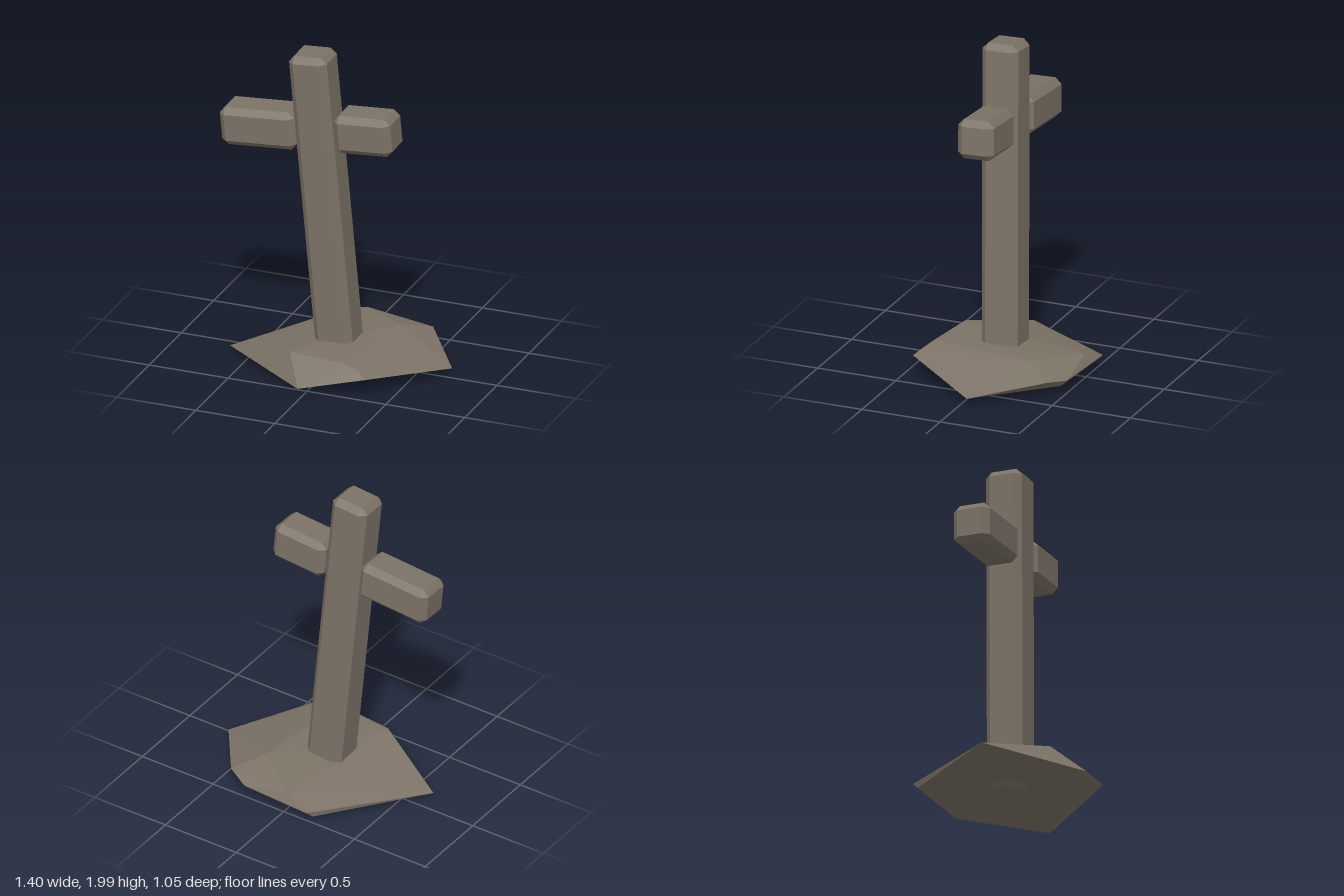
import * as THREE from 'three';
import { ConvexGeometry } from 'three/addons/geometries/ConvexGeometry.js';

const stone = new THREE.MeshStandardMaterial({ color: 0x7d7367, flatShading: true });
stone.name = 'stone';

// Box with every edge cut off at 45 degrees
function chamferedBox(w, h, d, c) {
  const points = [];
  for (const sx of [-1, 1]) for (const sy of [-1, 1]) for (const sz of [-1, 1]) {
    const x = w / 2, y = h / 2, z = d / 2;
    points.push(
      new THREE.Vector3(sx * x, sy * (y - c), sz * (z - c)),
      new THREE.Vector3(sx * (x - c), sy * y, sz * (z - c)),
      new THREE.Vector3(sx * (x - c), sy * (y - c), sz * z),
    );
  }
  return new ConvexGeometry(points);
}

// All beams share the same lean
function beam(name, size, position) {
  const mesh = new THREE.Mesh(chamferedBox(...size, 0.037), stone);
  mesh.name = name;
  mesh.position.set(...position);
  mesh.rotation.set(0.032, 0, 0.079);
  return mesh;
}

export function createModel() {
  const group = new THREE.Group();
  group.name = 'leaningStoneCross';

  // Upright and the two halves of the crossbar
  group.add(beam('post', [0.24, 1.98, 0.23], [-0.062, 1.003, 0.041]));
  group.add(beam('rightArm', [0.475, 0.24, 0.23], [-0.457, 1.473, 0.058]));
  group.add(beam('leftArm', [0.36, 0.24, 0.23], [0.204, 1.529, 0.052]));

  // Faceted rock the post stands in
  const rock = [
    // rim
    [-0.645, 0.035, 0.115], [-0.05, 0.025, 0.525], [0.35, 0.12, 0.455],
    [0.70, 0.05, -0.04], [0.42, 0.11, -0.43], [0.28, 0.085, -0.5],
    [-0.18, 0.085, -0.53], [-0.02, 0.14, -0.485],
    // underside at the back
    [-0.2, 0.045, -0.49], [0.28, 0.045, -0.46],
    // top
    [-0.17, 0.17, 0.345], [0.20, 0.17, 0.39], [0.29, 0.15, 0.42], [0.28, 0.175, -0.26],
  ];
  const base = new THREE.Mesh(new ConvexGeometry(rock.map((p) => new THREE.Vector3(...p))), stone);
  base.name = 'rockBase';
  group.add(base);

  return group;
}
